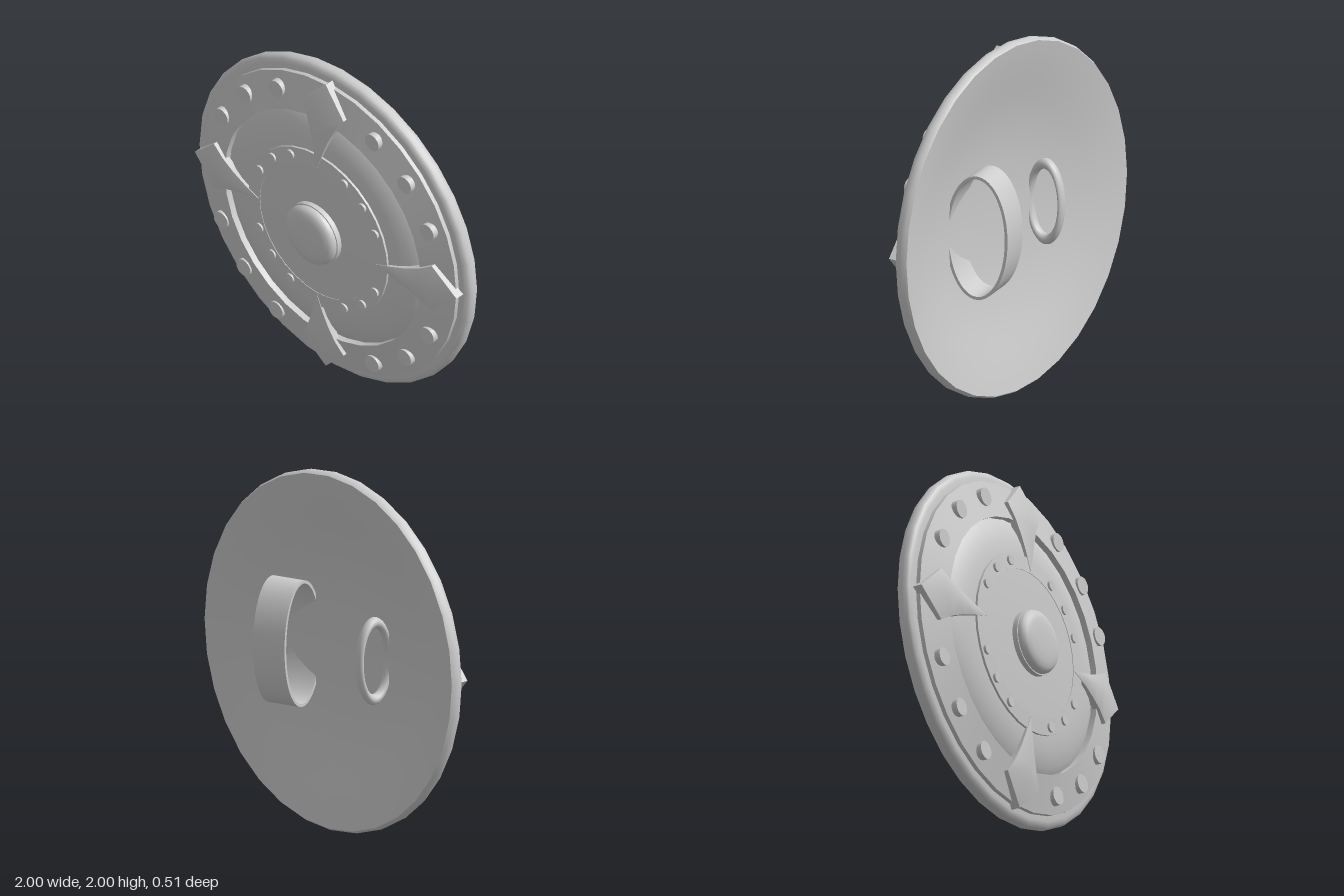
import * as THREE from 'three';
import { toCreasedNormals } from 'three/addons/utils/BufferGeometryUtils.js';

const material = new THREE.MeshStandardMaterial({ color: 0xcccccc });

function addMesh(parent, name, geometry) {
  const mesh = new THREE.Mesh(geometry, material);
  mesh.name = name;
  parent.add(mesh);
  return mesh;
}

// Turned part around the z axis; profile is [radius, z], back to front
function turned(profile, crease = 0.5) {
  const g = new THREE.LatheGeometry(profile.map(([r, z]) => new THREE.Vector2(r, z)), 32);
  g.rotateX(Math.PI / 2);
  return toCreasedNormals(g, crease);
}

// Softly ridged blade pointing along +y, lofted from five-sided sections
function bladeGeometry() {
  // [distance from centre, half width, back z, shoulder z, ridge z]
  const sections = [
    [0.43, 0, 0.14, 0.166, 0.166],
    [0.54, 0.034, 0.12, 0.158, 0.168],
    [0.63, 0.064, 0.105, 0.147, 0.167],
    [0.72, 0.103, 0.095, 0.134, 0.161],
    [0.80, 0.152, 0.085, 0.118, 0.148],
    [0.96, 0, 0.04, 0.095, 0.095],
  ];
  const positions = [];
  const index = [];
  for (const [y, w, back, shoulder, ridge] of sections) {
    positions.push(-w, y, back, -w, y, shoulder, 0, y, ridge, w, y, shoulder, w, y, back);
  }
  for (let i = 0; i < sections.length - 1; i++) {
    for (let j = 0; j < 5; j++) {
      const a = i * 5 + j;
      const b = i * 5 + (j + 1) % 5;
      index.push(a, b, b + 5, a, b + 5, a + 5);
    }
  }
  const g = new THREE.BufferGeometry();
  g.setAttribute('position', new THREE.Float32BufferAttribute(positions, 3));
  g.setIndex(index);
  return toCreasedNormals(g, 0.75);
}

// Three rivets in each quarter
function addRivets(parent, name, ringRadius, z, radius, height) {
  const g = new THREE.CylinderGeometry(radius, radius, height, 20).rotateX(Math.PI / 2);
  for (let quarter = 0; quarter < 4; quarter++) {
    for (const degrees of [25, 45, 65]) {
      const angle = THREE.MathUtils.degToRad(quarter * 90 + degrees);
      addMesh(parent, name, g)
        .position.set(ringRadius * Math.cos(angle), ringRadius * Math.sin(angle), z);
    }
  }
}

export function createModel() {
  const model = new THREE.Group();
  const shield = new THREE.Group();
  shield.name = 'shield';
  shield.position.y = 1;
  model.add(shield);

  // Hollow bell-shaped back, rounded rim and domed front
  addMesh(shield, 'shell', turned([
    [0, 0.102], [0.15, 0.1], [0.3, 0.093], [0.42, 0.08], [0.55, 0.059], [0.66, 0.034],
    [0.77, 0.006], [0.88, -0.021], [0.95, -0.036], [0.985, -0.043],
    [0.996, -0.027], [1, -0.006], [0.997, 0.016], [0.985, 0.03], [0.96, 0.038], [0.925, 0.04],
    [0.73, 0.072], [0.71, 0.088], [0.68, 0.103], [0.64, 0.119], [0.58, 0.135], [0.51, 0.144],
    [0.42, 0.15], [0, 0.15],
  ], 0.8));

  // Sloping outer band, narrow inner band and centre plate
  addMesh(shield, 'outerBand', turned([
    [0.72, 0.07], [0.93, 0.03], [0.93, 0.064], [0.72, 0.118], [0.72, 0.07],
  ]));
  addMesh(shield, 'innerBand', turned([
    [0.42, 0.13], [0.51, 0.13], [0.51, 0.157], [0.42, 0.164], [0.42, 0.13],
  ]));
  addMesh(shield, 'centrePlate', turned([
    [0.42, 0.14], [0.42, 0.161], [0.3, 0.167], [0.15, 0.171], [0, 0.172],
  ]));

  // Central boss: a low collar under a rounded cap
  addMesh(shield, 'boss', turned([
    [0, 0.15], [0.185, 0.15], [0.185, 0.2], [0.178, 0.2], [0.178, 0.214], [0.17, 0.23],
    [0.152, 0.242], [0.12, 0.25], [0.07, 0.254], [0, 0.255],
  ], 0.8));

  addRivets(shield, 'outerRivet', 0.834, 0.088, 0.051, 0.046);
  addRivets(shield, 'innerRivet', 0.466, 0.16, 0.028, 0.026);

  // Four pointed blades
  const blade = bladeGeometry();
  for (let i = 0; i < 4; i++) {
    addMesh(shield, 'blade', blade).rotation.z = i * Math.PI / 2;
  }

  // Broad arm strap: a flat elliptical hoop set into the back
  const hoop = new THREE.Shape().absellipse(0, 0, 0.182, 0.352, 0, Math.PI * 2);
  hoop.holes.push(new THREE.Path().absellipse(0, 0, 0.165, 0.335, 0, Math.PI * 2));
  const strapGeometry = new THREE.ExtrudeGeometry(hoop, {
    depth: 0.205, bevelEnabled: false, curveSegments: 32,
  });
  strapGeometry.translate(0, 0, -0.1025).rotateY(Math.PI / 2);
  const strap = addMesh(shield, 'armStrap', toCreasedNormals(strapGeometry, 0.6));
  strap.position.set(0.31, 0.005, -0.058);
  strap.rotation.y = 0.24;

  // Hand grip: a flattened ring set into the back
  const gripGeometry = new THREE.TorusGeometry(0.215, 0.03, 12, 40);
  gripGeometry.rotateY(Math.PI / 2).scale(1, 1, 0.49);
  addMesh(shield, 'handGrip', gripGeometry).position.set(-0.317, 0.005, 0);

  return model;
}
